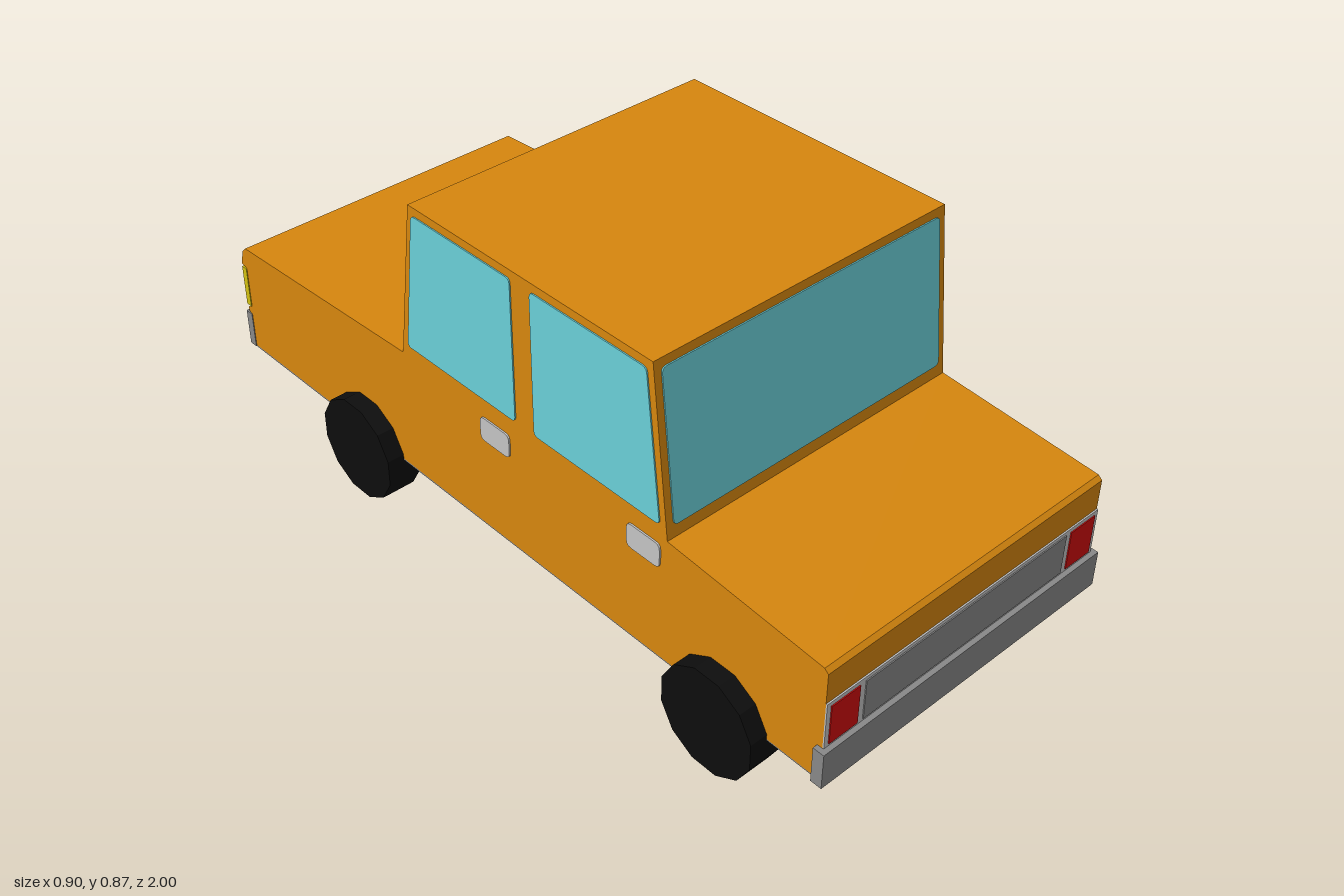
import * as THREE from 'three';

const mat = (name, color) => {
  const m = new THREE.MeshStandardMaterial({ color });
  m.name = name;
  return m;
};

export function createModel() {
  const car = new THREE.Group();
  car.name = 'car';
  const paint = mat('orange paint', 0xd6860e);
  const glass = mat('blue glass', 0x6acfd8);
  const grey = mat('grey metal', 0x888888);
  const silver = mat('silver trim', 0xc4c4c4);
  const red = mat('red lens', 0xd00c0c);
  const yellow = mat('yellow lens', 0xd2c010);
  const rubber = mat('black rubber', 0x0d0d0d);

  const add = (name, geo, material) => {
    const mesh = new THREE.Mesh(geo, material);
    mesh.name = name;
    car.add(mesh);
    return mesh;
  };

  // Box given by its limits on each axis
  const box = (name, material, x0, x1, y0, y1, z0, z1) => {
    const geo = new THREE.BoxGeometry(x1 - x0, y1 - y0, z1 - z0);
    geo.translate((x0 + x1) / 2, (y0 + y1) / 2, (z0 + z1) / 2);
    return add(name, geo, material);
  };

  // Polygon with optional softened corners
  const polygon = (pts, r = 0) => {
    const v = pts.map(([a, b]) => new THREE.Vector2(a, b));
    if (!r) return new THREE.Shape(v);
    const shape = new THREE.Shape();
    v.forEach((p, i) => {
      const toward = (q) => q.clone().sub(p).setLength(r).add(p);
      const a = toward(v[(i + v.length - 1) % v.length]);
      const b = toward(v[(i + 1) % v.length]);
      if (i) shape.lineTo(a.x, a.y);
      else shape.moveTo(a.x, a.y);
      shape.quadraticCurveTo(p.x, p.y, b.x, b.y);
    });
    shape.closePath();
    return shape;
  };

  const extrude = (shape, depth) => {
    const geo = new THREE.ExtrudeGeometry(shape, { depth, bevelEnabled: false, curveSegments: 3 });
    return geo.translate(0, 0, -depth / 2);
  };

  // Side profile in (z, y), extruded across x
  const prism = (name, material, pts, width, x = 0, r = 0) =>
    add(name, extrude(polygon(pts, r), width).rotateY(-Math.PI / 2).translate(x, 0, 0), material);

  // Lower body and cabin
  prism('lowerBody', paint, [
    [0.985, 0.146], [0.985, 0.425], [0.975, 0.434], [0.56, 0.466], [-0.285, 0.466],
    [-0.918, 0.434], [-0.932, 0.42], [-0.943, 0.38], [-0.925, 0.376], [-0.925, 0.264],
    [-0.938, 0.256], [-0.938, 0.246], [-0.93, 0.24], [-0.93, 0.146],
  ], 0.816);
  prism('cabin', paint, [[0.56, 0.464], [0.515, 0.87], [-0.225, 0.87], [-0.285, 0.464]], 0.816);
  box('underside', grey, -0.408, 0.408, 0.143, 0.147, -0.93, 0.985);

  // Sloping windscreens, sheared to follow the cabin ends
  const screen = (name, zLow, zHigh) => {
    const geo = extrude(polygon([[-0.39, 0.496], [0.39, 0.496], [0.39, 0.85], [-0.39, 0.85]], 0.012), 0.006);
    const p = geo.attributes.position;
    for (let i = 0; i < p.count; i++) {
      p.setZ(i, p.getZ(i) + zLow + (zHigh - zLow) * (p.getY(i) - 0.464) / 0.406);
    }
    geo.computeVertexNormals();
    add(name, geo, glass);
  };
  screen('frontScreen', 0.56, 0.515);
  screen('backScreen', -0.285, -0.225);

  for (const s of [-1, 1]) {
    const side = s < 0 ? 'right' : 'left';
    // Side windows and door handles
    prism(side + 'FrontWindow', glass,
      [[0.54, 0.497], [0.165, 0.497], [0.165, 0.85], [0.5, 0.85]], 0.006, s * 0.408, 0.012);
    prism(side + 'BackWindow', glass,
      [[0.105, 0.497], [-0.26, 0.497], [-0.213, 0.85], [0.105, 0.85]], 0.006, s * 0.408, 0.012);
    for (const z of [0.494, 0.034]) {
      prism(side + 'DoorHandle', silver, [
        [z - 0.048, 0.386], [z + 0.048, 0.386], [z + 0.048, 0.447], [z - 0.048, 0.447],
      ], 0.008, s * 0.408, 0.014);
    }

    // Lamps at both ends
    const pair = (name, m, a, b, y0, y1, z0, z1) =>
      box(side + name, m, Math.min(s * a, s * b), Math.max(s * a, s * b), y0, y1, z0, z1);
    pair('RedLamp', red, 0.318, 0.397, 0.241, 0.34, 0.983, 0.991);
    pair('YellowLamp', yellow, 0.322, 0.41, 0.265, 0.374, -0.94, -0.922);
    pair('SmallLamp', grey, 0.275, 0.312, 0.282, 0.362, -0.929, -0.922);

    // Twelve-sided wheels with a flat edge on the ground
    for (const z of [0.72, -0.443]) {
      let geo = new THREE.CylinderGeometry(0.1295, 0.1295, 0.087, 12);
      geo = geo.rotateY(Math.PI / 12).rotateZ(Math.PI / 2).toNonIndexed();
      geo.computeVertexNormals();
      add(side + 'Wheel', geo, rubber).position.set(s * 0.4085, 0.125, z);
    }
  }

  // Axles
  for (const z of [0.72, -0.443]) box('axle', grey, -0.37, 0.37, 0.11, 0.145, z - 0.018, z + 0.018);

  // Lamp panel with silver surround
  box('panelSurround', silver, -0.408, 0.408, 0.234, 0.35, 0.981, 0.9885);
  box('lampPanel', grey, -0.302, 0.302, 0.241, 0.341, 0.983, 0.991);

  // Grille at the other end
  box('grille', grey, -0.155, 0.155, 0.288, 0.352, -0.929, -0.922);

  // Straight bumper and pointed bumper
  box('frontBumper', grey, -0.42, 0.42, 0.143, 0.233, 0.972, 1);
  const nose = polygon([[-0.41, 0.925], [0.41, 0.925], [0.41, 0.948], [0, 1], [-0.41, 0.948]]);
  add('backBumper', extrude(nose, 0.097).rotateX(-Math.PI / 2).translate(0, 0.192, 0), grey);

  return car;
}
